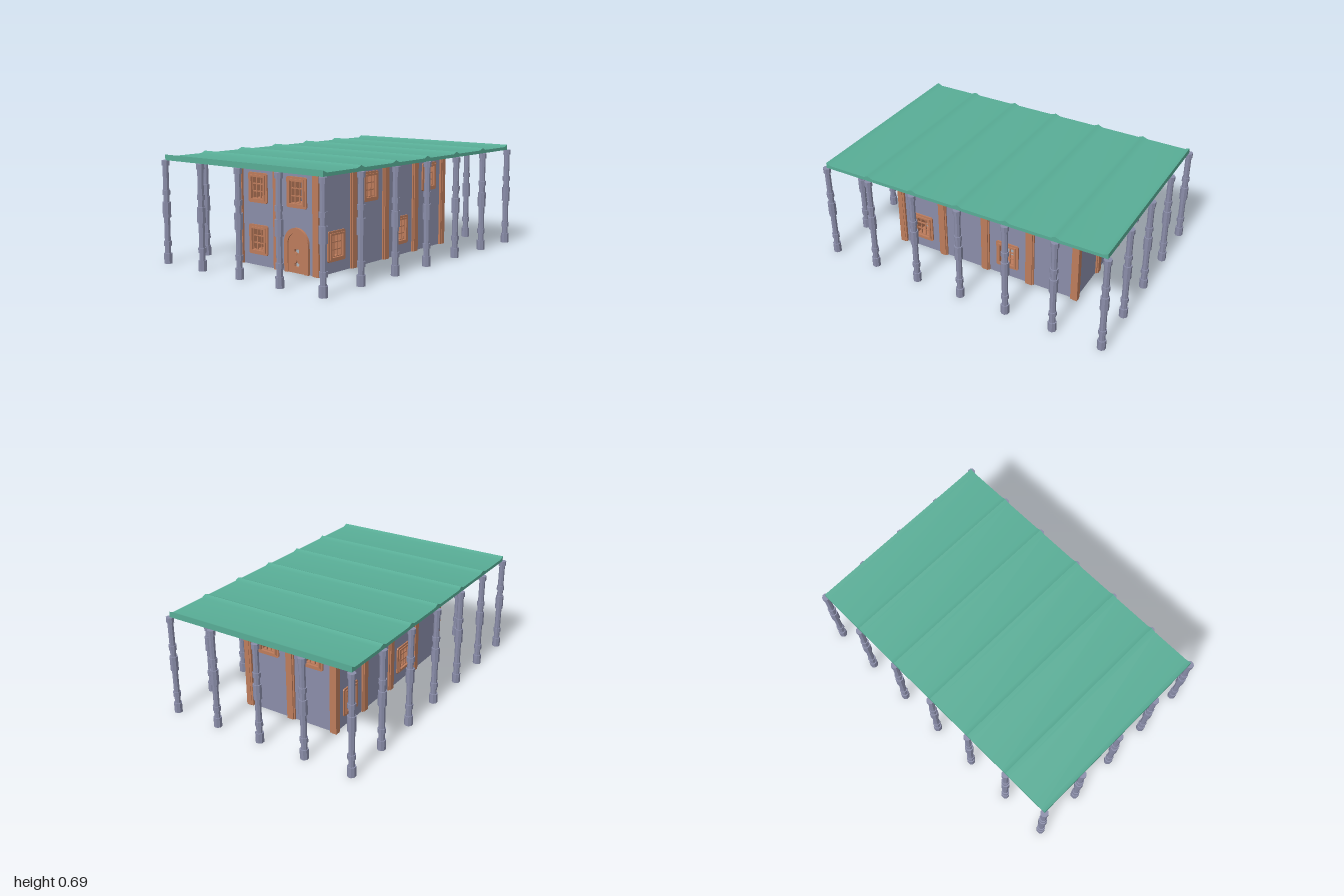
import * as THREE from 'three';
import { mergeGeometries } from 'three/addons/utils/BufferGeometryUtils.js';

const BAY = 0.325, HEIGHT = 0.655;
const LOW = 0.165, HIGH = 0.491;

export function createModel() {
  const model = new THREE.Group();
  const material = (name, color) => {
    const m = new THREE.MeshStandardMaterial({ color });
    m.name = name;
    return m;
  };
  const stone = material('blue grey stone', 0x8a8da9);
  const wood = material('orange wood', 0xbd7c5c);
  const green = material('green roof', 0x58ad96);

  const add = (parent, name, geometry, mat) => {
    const mesh = new THREE.Mesh(geometry, mat);
    mesh.name = name;
    parent.add(mesh);
    return mesh;
  };
  const box = (w, h, d, x, y, z) => new THREE.BoxGeometry(w, h, d).translate(x, y, z);

  // Outlines: rectangle with cut corners, and round-topped arch
  const panel = (path, x, y, w, h, c = 0) => {
    const pts = [[-w + c, -h], [w - c, -h], [w, -h + c], [w, h - c], [w - c, h], [-w + c, h], [-w, h - c], [-w, -h + c]];
    path.setFromPoints(pts.filter((p, i) => c > 0 || i % 2 === 0).map(([a, b]) => new THREE.Vector2(x + a, y + b)));
    path.closePath();
    return path;
  };
  const arch = (path, x, r, top, bottom = 0) => {
    path.moveTo(x - r, bottom);
    path.lineTo(x + r, bottom);
    path.absarc(x, top - r, r, 0, Math.PI, false);
    path.lineTo(x - r, bottom);
    return path;
  };
  const extrude = (shape, back, front) =>
    new THREE.ExtrudeGeometry(shape, { depth: front - back, bevelEnabled: false, curveSegments: 16 }).translate(0, 0, back);

  // Window: flat surround, raised deep frame and a lattice of bars
  const addWindow = (wall, x, y) => {
    const win = new THREE.Group();
    win.name = 'window';
    win.position.set(x, y, 0);
    const surround = panel(new THREE.Shape(), 0, 0, 0.08, 0.094, 0.008);
    surround.holes.push(panel(new THREE.Path(), 0, 0, 0.06, 0.075));
    add(win, 'windowSurround', extrude(surround, 0, 0.009), wood);
    const frame = panel(new THREE.Shape(), 0, 0, 0.065, 0.08);
    frame.holes.push(panel(new THREE.Path(), 0, 0, 0.051, 0.068));
    add(win, 'windowFrame', extrude(frame, -0.09, 0.016), wood);
    const bars = [];
    for (const t of [-1, 1]) {
      bars.push(box(0.007, 0.136, 0.008, t * 0.017, 0, -0.004));
      bars.push(box(0.102, 0.007, 0.008, 0, t * 0.023, -0.004));
      bars.push(box(0.005, 0.136, 0.008, t * 0.0485, 0, -0.004));
      bars.push(box(0.102, 0.005, 0.008, 0, t * 0.0655, -0.004));
    }
    add(win, 'windowBars', mergeGeometries(bars), wood);
    wall.add(win);
  };

  // Door: arched frame around a panel with two heart-shaped cut-outs
  const addDoor = (wall, x) => {
    const door = new THREE.Group();
    door.name = 'door';
    door.position.x = x;
    const frame = new THREE.Shape();
    frame.moveTo(0.068, 0);
    frame.lineTo(0.0975, 0);
    frame.absarc(0, 0.18, 0.0975, 0, Math.PI, false);
    frame.lineTo(-0.0975, 0);
    frame.lineTo(-0.068, 0);
    frame.absarc(0, 0.178, 0.068, Math.PI, 0, true);
    frame.lineTo(0.068, 0);
    add(door, 'doorFrame', extrude(frame, -0.05, 0.016), wood);
    const leaf = arch(new THREE.Shape(), 0, 0.069, 0.247);
    for (const [y, s] of [[0.104, 1], [0.081, -1]]) {
      const heart = [[0, 0], [0.007, 0.016], [0.02, 0.026], [0.017, 0.042], [0.008, 0.045], [0, 0.041],
        [-0.008, 0.045], [-0.017, 0.042], [-0.02, 0.026], [-0.007, 0.016]];
      const hole = new THREE.Path(heart.map(([a, b]) => new THREE.Vector2(a, y + s * b)));
      hole.closePath();
      leaf.holes.push(hole);
    }
    add(door, 'doorLeaf', extrude(leaf, -0.008, 0.008), wood);
    wall.add(door);
  };

  // Wall: thin sheet facing local +z with openings and timber strips between bays
  const addWall = (name, bays, distance, turn, windows, doorX) => {
    const wall = new THREE.Group();
    wall.name = name;
    const half = bays * BAY / 2;
    const shape = panel(new THREE.Shape(), 0, HEIGHT / 2, half, HEIGHT / 2);
    for (const [x, y] of windows) {
      shape.holes.push(panel(new THREE.Path(), x, y, 0.062, 0.077));
      addWindow(wall, x, y);
    }
    if (doorX !== undefined) {
      shape.holes.push(arch(new THREE.Path(), doorX, 0.09, 0.27, 0.002));
      addDoor(wall, doorX);
    }
    add(wall, 'wallPanel', extrude(shape, -0.01, 0), stone);
    const strips = [];
    for (let i = 1; i < bays; i++) {
      const x = i * BAY - half;
      strips.push(box(0.06, HEIGHT, 0.03, x, HEIGHT / 2, -0.005));
      strips.push(box(0.042, HEIGHT, 0.042, x, HEIGHT / 2, -0.003));
    }
    add(wall, 'timberStrips', mergeGeometries(strips), wood);
    wall.rotation.y = turn;
    wall.position.set(Math.sin(turn) * distance, 0, Math.cos(turn) * distance);
    model.add(wall);
  };
  const B = BAY / 2;
  const sideWindows = [[-3 * B, LOW], [-B, HIGH], [B, LOW], [3 * B, HIGH]];
  addWall('frontWall', 2, 2 * B * 2, 0, [[-B, LOW], [-B, HIGH], [B, HIGH]], B);
  addWall('backWall', 2, 2 * B * 2, Math.PI, [[-B, HIGH], [B, HIGH]]);
  addWall('leftWall', 4, BAY, Math.PI / 2, sideWindows);
  addWall('rightWall', 4, BAY, -Math.PI / 2, sideWindows);

  // Corner timbers, stepped on both outer faces
  for (const sx of [-1, 1]) for (const sz of [-1, 1]) {
    const parts = [
      box(0.045, HEIGHT, 0.045, sx * 0.3175, HEIGHT / 2, sz * 0.6425),
      box(0.034, HEIGHT, 0.034, sx * 0.326, HEIGHT / 2, sz * 0.651),
    ];
    add(model, 'cornerTimber', mergeGeometries(parts), wood);
  }

  // Turned posts: eight-sided drums as [bottom, top, half width]
  const drums = [[0, 0.065, 0.025], [0.065, 0.113, 0.018], [0.113, 0.144, 0.0235], [0.144, 0.296, 0.018],
    [0.296, 0.392, 0.025], [0.392, 0.438, 0.018], [0.438, 0.469, 0.0235], [0.469, 0.622, 0.018], [0.622, HEIGHT, 0.0235]];
  const postGeometry = mergeGeometries(drums.map(([y0, y1, w]) => {
    const r = w / Math.cos(Math.PI / 8);
    return new THREE.CylinderGeometry(r, r, y1 - y0, 8, 1, false, Math.PI / 8).translate(0, (y0 + y1) / 2, 0);
  }).map((g) => {
    const flat = g.toNonIndexed();
    flat.computeVertexNormals();
    return flat;
  }));
  for (let i = -2; i <= 2; i++) for (let j = -3; j <= 3; j++) {
    if (Math.abs(i) < 2 && Math.abs(j) < 3) continue;
    add(model, 'post', postGeometry, stone).position.set(i * BAY, 0, j * BAY);
  }

  // Roof: six sagging bays with smooth tops, sharp ridges and a flat underside
  const roof = new THREE.Group();
  roof.name = 'roof';
  const W = 0.65;
  const sag = [[-B, 0.69], [-0.13, 0.676], [0.13, 0.676], [B, 0.69]];
  for (let k = 0; k < 6; k++) {
    const zc = (k - 2.5) * BAY;
    const top = new THREE.PlaneGeometry(2 * W, 1, 1, sag.length - 1);
    sag.forEach(([z, y], i) => {
      top.attributes.position.setXYZ(2 * i, -W, y, zc + z);
      top.attributes.position.setXYZ(2 * i + 1, W, y, zc + z);
    });
    top.computeVertexNormals();
    add(roof, 'roofBay', top, green);
  }
  const edge = new THREE.Shape();
  edge.moveTo(-3 * BAY, HEIGHT);
  for (let k = 0; k < 6; k++) for (const [z, y] of sag) edge.lineTo((k - 2.5) * BAY + z, y);
  edge.lineTo(3 * BAY, HEIGHT);
  for (const s of [-1, 1]) {
    const side = add(roof, 'roofSide', new THREE.ShapeGeometry(edge), green);
    side.rotation.y = s * Math.PI / 2;
    side.position.x = s * W;
    const end = add(roof, 'roofEnd', new THREE.PlaneGeometry(2 * W, 0.69 - HEIGHT), green);
    end.position.set(0, (0.69 + HEIGHT) / 2, s * 3 * BAY);
    end.rotation.y = s < 0 ? Math.PI : 0;
  }
  add(roof, 'roofUnderside', new THREE.PlaneGeometry(2 * W, 6 * BAY).rotateX(Math.PI / 2).translate(0, HEIGHT, 0), green);
  model.add(roof);

  return model;
}
